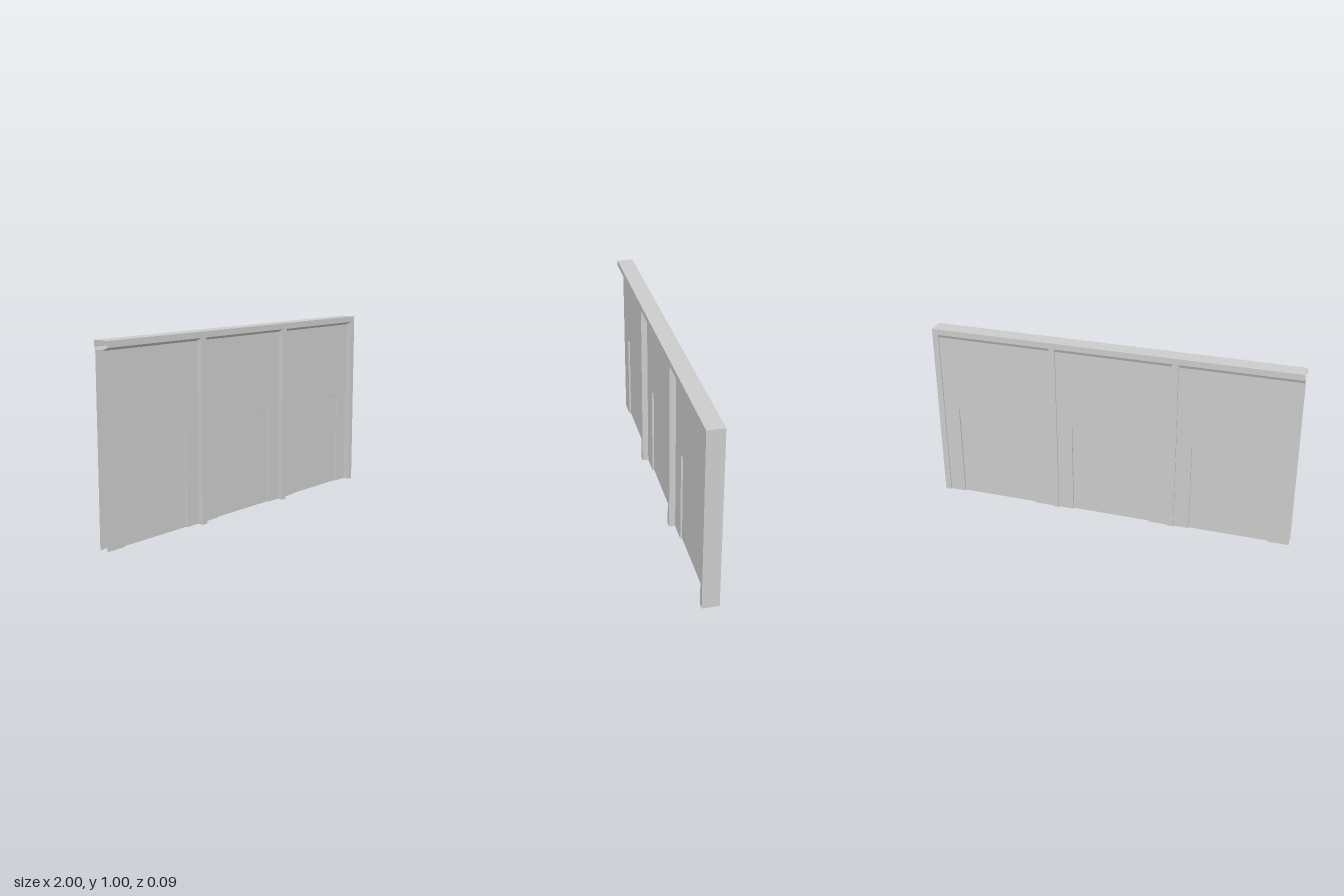
import * as THREE from 'three';

const material = new THREE.MeshStandardMaterial({ color: 0xcccccc, side: THREE.DoubleSide });

const HALF_DEPTH = 0.045;
const FASCIA_Y = 0.968; // lower edge of the cornice band
const WALL_TOP = 0.952; // where the cornice slope meets the wall
const PILLAR_W = 0.033;
const PITCH = 0.666;
const ARCH = { half: 0.218, spring: 0.52, rise: 0.033, steps: 8 };

function mesh(name, geometry) {
  const m = new THREE.Mesh(geometry, material);
  m.name = name;
  return m;
}

// Flat faceted band between two matching rows of points
function strip(name, a, b) {
  const pos = [];
  for (let i = 0; i < a.length - 1; i++) {
    pos.push(...a[i], ...a[i + 1], ...b[i + 1], ...a[i], ...b[i + 1], ...b[i]);
  }
  const g = new THREE.BufferGeometry();
  g.setAttribute('position', new THREE.Float32BufferAttribute(pos, 3));
  g.computeVertexNormals();
  return mesh(name, g);
}

// Segmental arch outline from the left foot over to the right foot
function archOutline(cx) {
  const { half, spring, rise, steps } = ARCH;
  const pts = [[cx - half, 0]];
  for (let i = 0; i <= steps; i++) {
    const t = (i / steps) * 2 - 1;
    pts.push([cx + t * half, spring + rise * (1 - t * t)]);
  }
  pts.push([cx + half, 0]);
  return pts;
}

function flatShape(name, pts, z) {
  const shape = new THREE.Shape(pts.map(([x, y]) => new THREE.Vector2(x, y)));
  return mesh(name, new THREE.ShapeGeometry(shape).translate(0, 0, z));
}

// One face of the wall, built towards +z
function wallSide(name, wallZ, recessZ) {
  const side = new THREE.Group();
  side.name = name;
  const f = HALF_DEPTH;

  // Cornice band
  side.add(strip('corniceBand',
    [[-1, FASCIA_Y, f], [1, FASCIA_Y, f]],
    [[-1, 1, f], [1, 1, f]]));

  let x0 = -1;
  for (let i = 0; i < 3; i++) {
    const pillarRight = 1 - (2 - i) * (PITCH + 0.001);
    const x1 = pillarRight - PILLAR_W;
    const arch = archOutline(-0.003 + (i - 1) * PITCH);

    // Wall bay cut out around the arch, with the recessed panel and its reveal
    side.add(flatShape('wallBay', [[x0, 0], ...arch, [x1, 0], [x1, WALL_TOP], [x0, WALL_TOP]], wallZ));
    side.add(flatShape('archPanel', arch, recessZ));
    side.add(strip('archReveal',
      arch.map(([x, y]) => [x, y, recessZ]),
      arch.map(([x, y]) => [x, y, wallZ])));

    // Sloped underside of the cornice
    side.add(strip('corniceSlope',
      [[x0, WALL_TOP, wallZ], [x1, WALL_TOP, wallZ]],
      [[x0, FASCIA_Y, f], [x1, FASCIA_Y, f]]));

    // Pillar, open underneath; the last one is closed by the end cap
    const foot = [[x1, 0, wallZ], [x1, 0, f], [pillarRight, 0, f]];
    if (i < 2) foot.push([pillarRight, 0, wallZ]);
    const head = foot.map(([x, , z]) => [x, z === f ? FASCIA_Y : WALL_TOP, z]);
    side.add(strip('pillar', foot, head));

    x0 = pillarRight;
  }
  return side;
}

export function createModel() {
  const model = new THREE.Group();
  model.name = 'archedWall';
  const d = HALF_DEPTH;

  model.add(wallSide('frontSide', 0.012, 0.002));

  // The back has shallower relief and is mirrored in z
  const back = wallSide('backSide', 0.037, 0.027);
  back.scale.z = -1;
  model.add(back);

  // Top and one closed end; the bottom and other end stay open
  model.add(strip('top', [[-1, 1, d], [1, 1, d]], [[-1, 1, -d], [1, 1, -d]]));
  model.add(strip('endCap', [[1, 0, d], [1, 0, -d]], [[1, 1, d], [1, 1, -d]]));
  return model;
}
